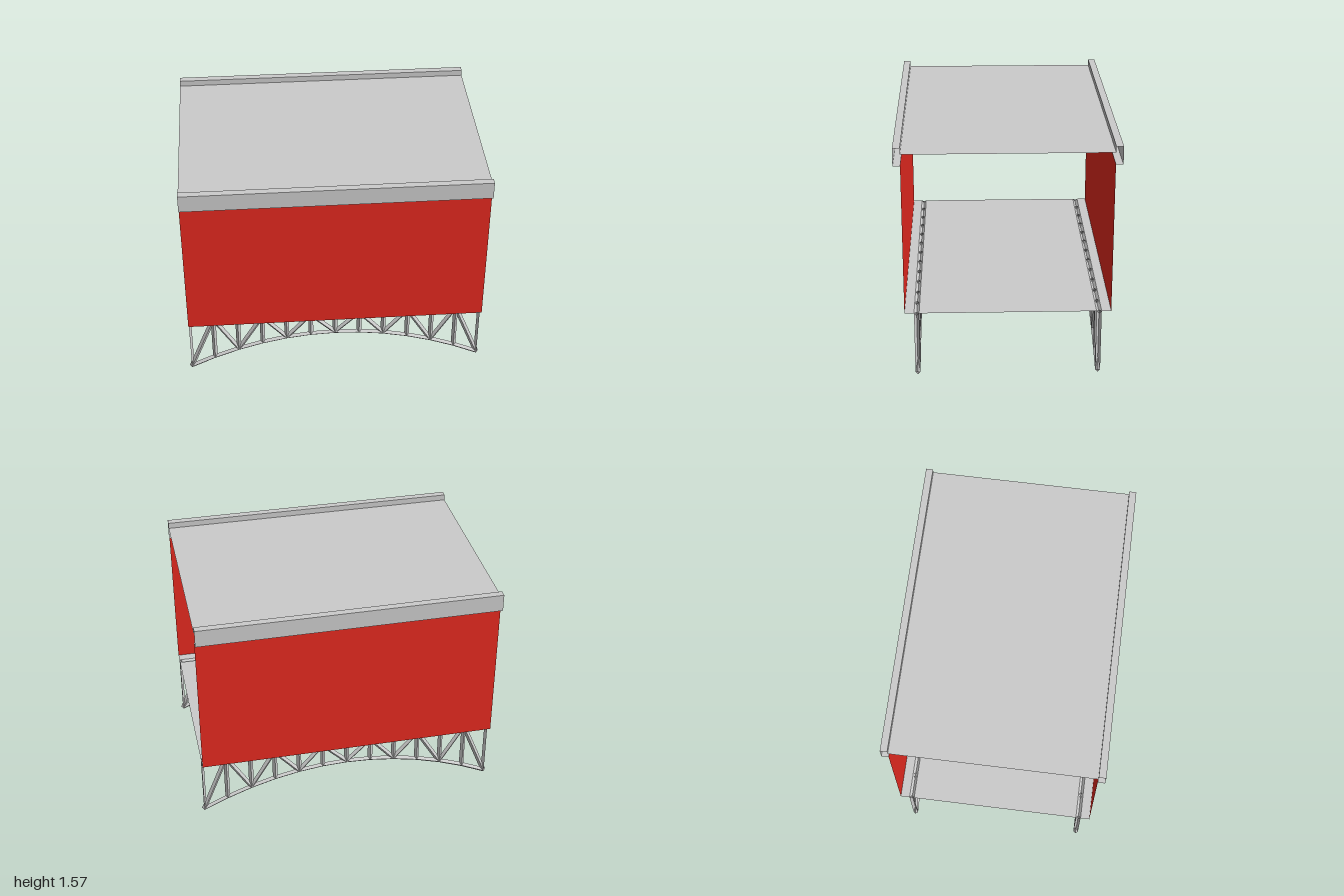
import * as THREE from 'three';

const grey = new THREE.MeshStandardMaterial({ color: 0xcccccc, flatShading: true, side: THREE.DoubleSide });
const red = new THREE.MeshStandardMaterial({ color: 0xe4291f, flatShading: true, side: THREE.DoubleSide });

const DECK = 0.443, WALL_TOP = 1.447, ROOF = 1.525, TOP = 1.565;
const WALL_Z = 0.667, EDGE_Z = 0.714, TRUSS_Z = 0.589, R = 0.0165;

// Thin sheet: a [z, y] profile swept along the full length in x
function sheet(name, profile, material) {
  const pos = [], idx = [];
  for (const [z, y] of profile) pos.push(-1, y, z, 1, y, z);
  for (let i = 0; i < profile.length - 1; i++) {
    const a = 2 * i;
    idx.push(a, a + 1, a + 3, a, a + 3, a + 2);
  }
  const geo = new THREE.BufferGeometry();
  geo.setAttribute('position', new THREE.Float32BufferAttribute(pos, 3));
  geo.setIndex(idx);
  geo.computeVertexNormals();
  const mesh = new THREE.Mesh(geo, material);
  mesh.name = name;
  return mesh;
}

// Diamond-section bar between two points in the truss plane; half bars keep one ridge
function bar(name, x1, y1, x2, y2, start = 0, half = false) {
  const length = Math.hypot(x2 - x1, y2 - y1);
  const geo = new THREE.CylinderGeometry(R, R, length, half ? 2 : 4, 1, true, start, half ? Math.PI : 2 * Math.PI);
  const mesh = new THREE.Mesh(geo, grey);
  mesh.position.set((x1 + x2) / 2, (y1 + y2) / 2, 0);
  mesh.rotation.z = Math.atan2(y2 - y1, x2 - x1) - Math.PI / 2;
  mesh.name = name;
  return mesh;
}

const archY = (x) => 0.27 - 0.252 * x * x;

// Bottom chord: diamond sections along the arch, joined with mitred corners
function archChord() {
  const pos = [], idx = [], n = 12;
  for (let i = 0; i <= n; i++) {
    const x = -1 + (2 * i) / n, y = archY(x);
    const h = R * Math.hypot(1, 0.504 * x);
    pos.push(x, y + h, 0, x, y, R, x, y - h, 0, x, y, -R);
    if (i === n) continue;
    for (let j = 0; j < 4; j++) {
      const a = 4 * i + j, b = 4 * i + ((j + 1) % 4);
      idx.push(a, b, b + 4, a, b + 4, a + 4);
    }
  }
  const geo = new THREE.BufferGeometry();
  geo.setAttribute('position', new THREE.Float32BufferAttribute(pos, 3));
  geo.setIndex(idx);
  geo.computeVertexNormals();
  const mesh = new THREE.Mesh(geo, grey);
  mesh.name = 'archChord';
  return mesh;
}

function createTruss(name) {
  const truss = new THREE.Group();
  truss.name = name;
  truss.add(archChord());
  // Top chord: half diamond with its ridge down
  truss.add(bar('topChord', -1, DECK, 1, DECK, 0, true));
  // End posts: half diamonds with the ridge facing inward
  truss.add(bar('endPost', -1, archY(1), -1, DECK, 0, true));
  truss.add(bar('endPost', 1, archY(1), 1, DECK, Math.PI, true));
  // Posts at every panel point
  for (let k = -5; k <= 5; k++) truss.add(bar('post', k / 6, archY(k / 6), k / 6, DECK - 0.003));
  // Diagonals fan down from every second panel point
  for (let k = -5; k <= 5; k += 2) {
    for (const s of [-1, 1]) {
      const x = (k + s) / 6;
      truss.add(bar('diagonal', x, archY(x), k / 6, DECK - 0.008));
    }
  }
  return truss;
}

export function createModel() {
  const model = new THREE.Group();
  model.name = 'coveredBridge';

  // Deck and roof
  model.add(sheet('deck', [[TRUSS_Z - R, DECK], [R - TRUSS_Z, DECK]], grey));
  model.add(sheet('roof', [[WALL_Z, ROOF], [-WALL_Z, ROOF]], grey));

  for (const [s, side] of [[1, 'front'], [-1, 'back']]) {
    // Strip of deck between truss and wall
    model.add(sheet(side + 'DeckEdge', [[s * WALL_Z, DECK], [s * (TRUSS_Z + R), DECK]], grey));
    model.add(sheet(side + 'Wall', [[s * WALL_Z, DECK], [s * WALL_Z, WALL_TOP]], red));
    // Hollow parapet wrapping the roof edge
    model.add(sheet(side + 'Parapet', [
      [s * WALL_Z, WALL_TOP], [s * EDGE_Z, WALL_TOP], [s * EDGE_Z, TOP], [s * WALL_Z, TOP], [s * WALL_Z, ROOF],
    ], grey));
    const truss = createTruss(side + 'Truss');
    truss.position.z = s * TRUSS_Z;
    model.add(truss);
  }
  return model;
}
